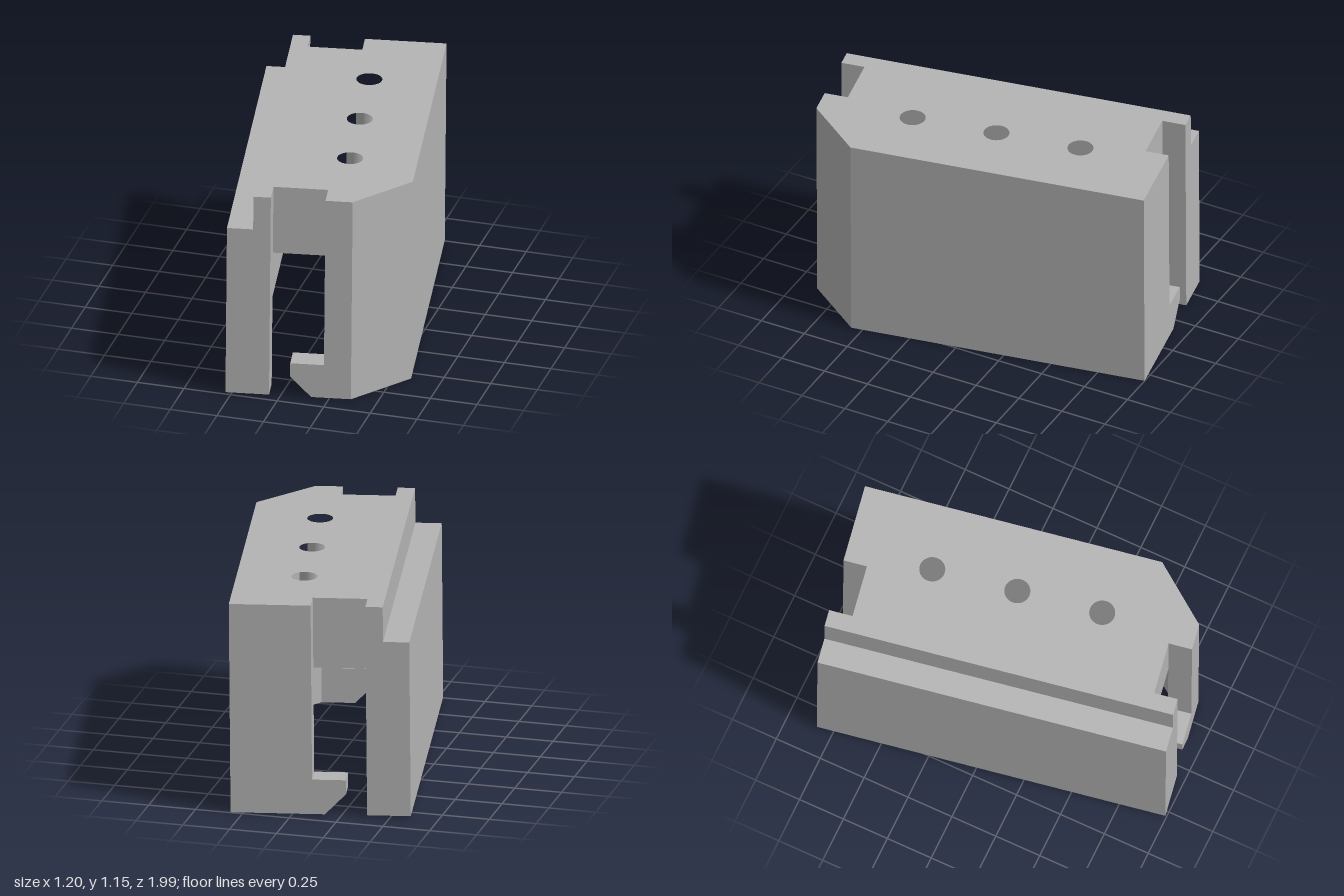
import * as THREE from 'three';

const END = 0.93, INNER = 0.805;   // outer and inner face of the end walls
const TOP = 1.137, CEILING = 0.757;

export function createModel() {
  const grey = new THREE.MeshStandardMaterial({ color: 0xb4b4b4 });
  const body = new THREE.Group();
  body.name = 'housing';

  const add = (name, geometry) => {
    const mesh = new THREE.Mesh(geometry, grey);
    mesh.name = name;
    body.add(mesh);
  };
  const toShape = (pts) => new THREE.Shape(pts.map(([a, b]) => new THREE.Vector2(a, b)));

  // Plan outline (x, z) raised from y0 to y1, with optional round holes
  const plan = (name, pts, y0, y1, holes = []) => {
    const shape = toShape(pts.map(([x, z]) => [x, -z]));
    for (const [x, z, r] of holes) {
      const hole = new THREE.Path();
      hole.absarc(x, -z, r, 0, Math.PI * 2, true);
      shape.holes.push(hole);
    }
    const g = new THREE.ExtrudeGeometry(shape, { depth: y1 - y0, bevelEnabled: false, curveSegments: 32 });
    g.rotateX(-Math.PI / 2);
    g.translate(0, y0, 0);
    add(name, g);
  };

  // Cross-section (x, y) run lengthwise from z0 to z1
  const section = (name, pts, z0, z1) => {
    const g = new THREE.ExtrudeGeometry(toShape(pts), { depth: z1 - z0, bevelEnabled: false });
    g.translate(0, 0, z0);
    add(name, g);
  };

  // Thick top with a notch at each end and three through holes
  plan('topBlock', [
    [-0.308, -END], [-0.218, -END], [-0.218, -INNER], [0.065, -INNER], [0.065, -END],
    [0.488, -END], [0.488, 0.656], [0.206, END], [0.065, END], [0.065, INNER],
    [-0.218, INNER], [-0.218, END], [-0.308, END],
  ], CEILING, TOP, [-0.476, -0.022, 0.431].map((z) => [0.138, z, 0.067]));

  // Stepped side plate, chamfered along its inner lower edge
  section('steppedSidePlate',
    [[-0.444, 0], [-0.367, 0], [-0.308, 0.07], [-0.308, 0.948], [-0.444, 0.948]], -END, END);

  // Opposite side wall with the same lower chamfer
  section('sideWall',
    [[0.424, 0], [0.488, 0], [0.488, CEILING], [0.365, CEILING], [0.365, 0.07]], -END, 0.656);

  // End walls with slanted inner corners; the front one is cut off outside too
  plan('backEndWall', [
    [0.065, -END], [0.488, -END], [0.488, -0.548], [0.424, -0.548], [0.173, -INNER], [0.065, -INNER],
  ], 0, CEILING);
  plan('frontEndWall', [
    [0.065, END], [0.206, END], [0.488, 0.656], [0.488, 0.548], [0.424, 0.548], [0.173, INNER], [0.065, INNER],
  ], 0, CEILING);

  // Lips on the plate and hooks at the foot of the walls, at both ends
  for (const [label, z0, z1] of [['front', INNER, END], ['back', -END, -INNER]]) {
    section(label + 'Lip',
      [[-0.4, 0], [-0.218, 0], [-0.218, CEILING], [-0.4, CEILING]], z0, z1);
    section(label + 'Hook',
      [[0.065, 0], [0.065, 0.188], [-0.11, 0.188], [-0.11, 0.112], [0, 0]], z0, z1);
  }

  // Inner ribs between the holes
  for (const z of [-0.235, 0.22]) {
    section('innerRib',
      [[0.25, 0.07], [0.37, 0.07], [0.37, CEILING], [0.25, CEILING]], z - 0.055, z + 0.055);
  }

  // Turned a little about the vertical, with a very slight lean
  body.rotation.y = 0.176;
  const model = new THREE.Group();
  model.name = 'slottedHousing';
  const lean = new THREE.Group();
  lean.name = 'lean';
  lean.rotation.z = -0.0085;
  lean.position.set(-0.005, 0.006, 0);
  lean.add(body);
  model.add(lean);
  return model;
}
